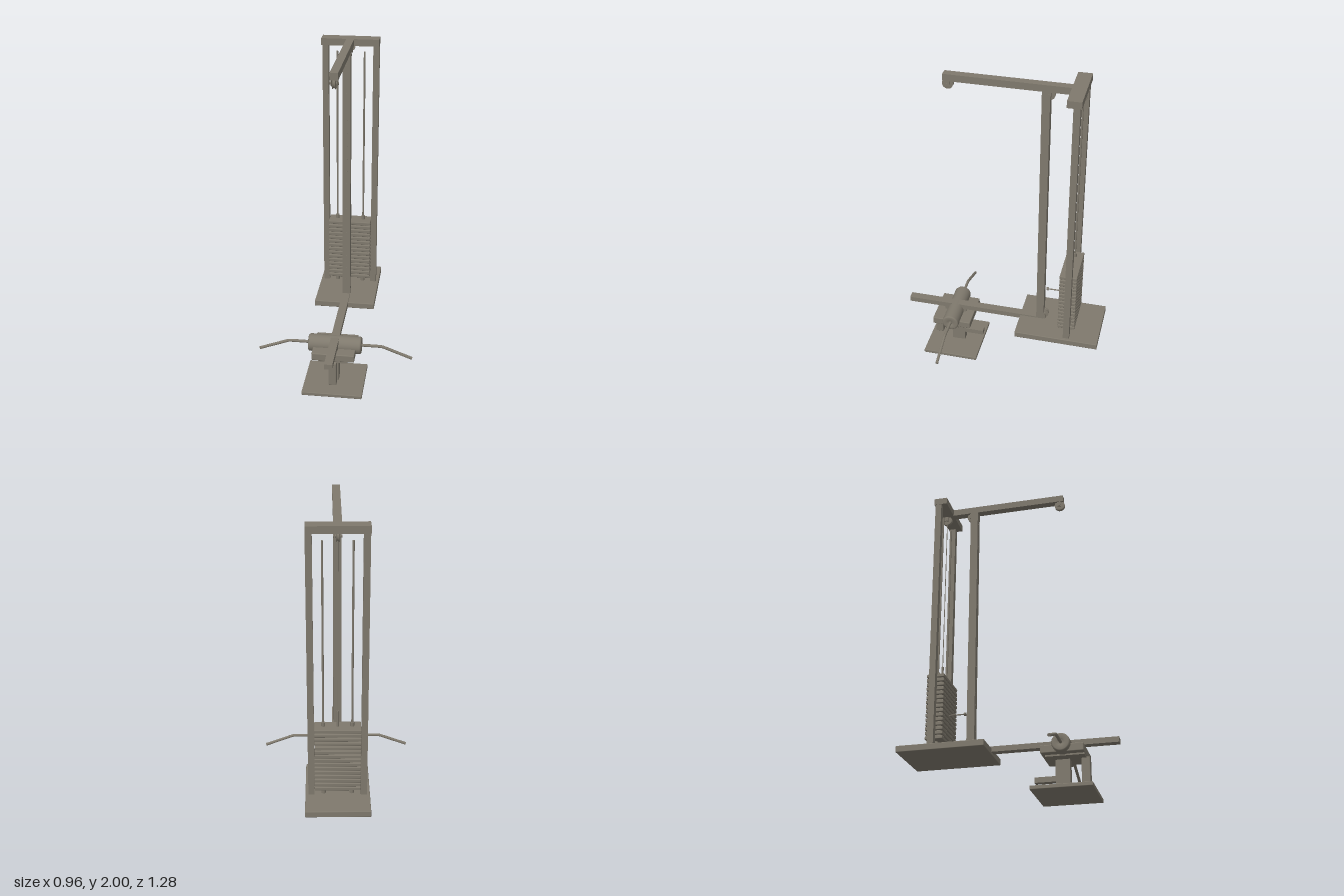
import * as THREE from 'three';
import { RoundedBoxGeometry } from 'three/addons/geometries/RoundedBoxGeometry.js';

export function createModel() {
  const model = new THREE.Group();
  model.name = 'cablePulldownMachine';
  const steel = new THREE.MeshStandardMaterial({ color: 0x7f796d });
  steel.name = 'warm grey steel';

  function add(name, geometry, parent = model) {
    const mesh = new THREE.Mesh(geometry, steel);
    mesh.name = name;
    parent.add(mesh);
    return mesh;
  }
  // Box given by its limits on each axis, with an optional edge radius
  function box(name, [x0, x1], [y0, y1], [z0, z1], radius = 0, parent = model) {
    const size = [x1 - x0, y1 - y0, z1 - z0];
    const mesh = add(name, radius ? new RoundedBoxGeometry(...size, 2, radius) : new THREE.BoxGeometry(...size), parent);
    mesh.position.set((x0 + x1) / 2, (y0 + y1) / 2, (z0 + z1) / 2);
    return mesh;
  }
  // Cylinder centred at a point and lying along one axis
  function rod(name, axis, radius, length, x, y, z, parent = model, sides = 16) {
    const geometry = new THREE.CylinderGeometry(radius, radius, length, sides);
    if (axis === 'x') geometry.rotateZ(Math.PI / 2);
    if (axis === 'z') geometry.rotateX(Math.PI / 2);
    const mesh = add(name, geometry, parent);
    mesh.position.set(x, y, z);
    return mesh;
  }

  // Tower frame
  box('towerBase', [-0.195, 0.195], [0.276, 0.315], [-0.642, -0.11], 0.004);
  box('frontUpright', [-0.024, 0.024], [0.315, 1.957], [-0.265, -0.217]);
  for (const s of [-1, 1]) {
    box('rearUpright', s < 0 ? [-0.177, -0.139] : [0.139, 0.177], [0.315, 1.957], [-0.46, -0.421]);
  }
  box('topCrossbar', [-0.179, 0.177], [1.957, 2], [-0.468, -0.384]);
  box('topBeam', [-0.024, 0.024], [1.957, 2], [-0.384, 0.355]);
  box('lowerBeam', [-0.025, 0.025], [0.291, 0.324], [-0.217, 0.642]);

  // Adjustment holes on the front upright
  for (let i = 0; i < 18; i++) {
    rod('adjustmentHole', 'z', 0.005, 0.003, 0, 0.43 + i * 0.085, -0.216, model, 10);
  }

  // Grooved pulleys held between two cheek plates
  const wheelProfile = [[0.006, -0.01], [0.033, -0.01], [0.033, -0.007], [0.025, 0],
    [0.033, 0.007], [0.033, 0.01], [0.006, 0.01]].map(p => new THREE.Vector2(...p));
  function pulley(y, z, bracketUp) {
    const group = new THREE.Group();
    group.name = 'pulley';
    group.position.set(0, y, z);
    model.add(group);
    add('pulleyWheel', new THREE.LatheGeometry(wheelProfile, 24).rotateZ(-Math.PI / 2), group);
    rod('pulleyAxle', 'x', 0.008, 0.05, 0, 0, 0, group);
    for (const s of [-1, 1]) {
      const limits = s < 0 ? [-0.02, -0.015] : [0.015, 0.02];
      box('pulleyCheek', limits, bracketUp ? [-0.012, 0.03] : [-0.036, 0.012], [-0.014, 0.014], 0, group);
    }
  }
  pulley(1.936, 0.33, true);
  pulley(1.936, -0.258, true);
  pulley(1.936, -0.434, true);
  pulley(0.35, -0.262, false);

  // Weight stack with necks between the plates
  const count = 15, pitch = 0.028, bottom = 0.36;
  for (let i = 0; i < count; i++) {
    const y = bottom + i * pitch;
    box('weightPlate', [-0.138, 0.138], [y, y + 0.021], [-0.486, -0.378], 0.004);
    if (i < count - 1) box('plateSpacer', [-0.125, 0.125], [y + 0.02, y + pitch + 0.001], [-0.472, -0.392]);
  }

  // Guide rods, collars and lower stops
  for (const x of [-0.085, 0.085]) {
    rod('guideRod', 'y', 0.006, 1.595, x, 1.1125, -0.434);
    rod('guideCollar', 'y', 0.012, 0.024, x, 0.788, -0.434);
    rod('guideStop', 'y', 0.014, 0.045, x, 0.337, -0.434);
  }
  rod('selectorRod', 'y', 0.007, 0.11, 0, 0.82, -0.434);
  rod('cable', 'y', 0.0025, 1.05, 0, 1.395, -0.434, model, 8);
  rod('selectorPin', 'z', 0.004, 0.1, 0, 0.55, -0.332);
  rod('selectorKnob', 'z', 0.01, 0.012, 0, 0.55, -0.282);

  // Seat stand
  box('seatBase', [-0.187, 0.185], [0, 0.023], [0.152, 0.508], 0.004);
  box('seatPostFront', [-0.024, 0.024], [0.023, 0.22], [0.312, 0.355]);
  box('seatPostRear', [-0.022, 0.022], [0.023, 0.22], [0.27, 0.312]);
  box('frontPad', [-0.024, 0.024], [0.062, 0.218], [0.42, 0.47], 0.004);
  box('footBar', [-0.02, 0.02], [0.086, 0.118], [0.145, 0.275]);
  box('seatPlate', [-0.09, 0.09], [0.213, 0.224], [0.225, 0.45]);
  box('seatPad', [-0.131, 0.131], [0.223, 0.27], [0.203, 0.453], 0.005);
  box('beamSaddle', [-0.025, 0.025], [0.265, 0.295], [0.258, 0.4]);

  // Padded roller with soft, dished ends
  const rollerProfile = [[0.009, -0.158], [0.02, -0.158], [0.022, -0.164], [0.045, -0.164], [0.051, -0.161], [0.054, -0.154],
    [0.054, 0.154], [0.051, 0.161], [0.045, 0.164], [0.022, 0.164], [0.02, 0.158], [0.009, 0.158]]
    .map(p => new THREE.Vector2(...p));
  const roller = add('thighRoller', new THREE.LatheGeometry(rollerProfile, 32).rotateZ(-Math.PI / 2));
  roller.position.set(0, 0.272, 0.327);

  // Handle bar with both ends bent down
  const points = [[-0.472, 0.205], [-0.31, 0.266], [-0.29, 0.273], [-0.268, 0.274],
    [0.268, 0.274], [0.29, 0.273], [0.31, 0.266], [0.472, 0.205]].map(([x, y]) => new THREE.Vector3(x, y, 0.327));
  const path = new THREE.CurvePath();
  for (let i = 1; i < points.length; i++) path.add(new THREE.LineCurve3(points[i - 1], points[i]));
  add('handleBar', new THREE.TubeGeometry(path, 96, 0.009, 12));
  for (const s of [-1, 1]) {
    const cap = rod('handleEnd', 'x', 0.0095, 0.008, s * 0.471, 0.2055, 0.327);
    cap.rotation.z = -s * 0.36;
  }
  return model;
}
